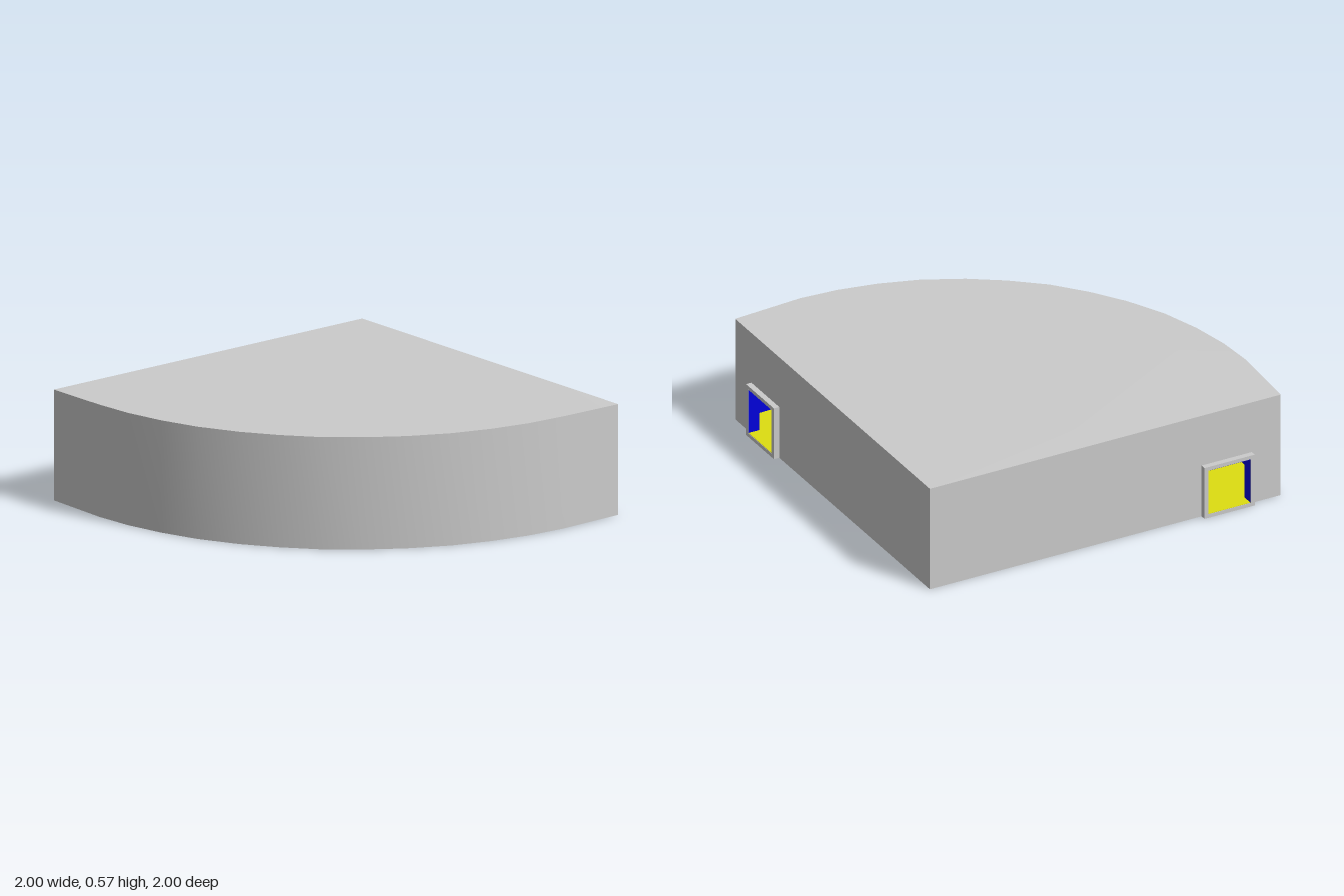
import * as THREE from 'three';

const paint = (color) => new THREE.MeshStandardMaterial({ color, side: THREE.DoubleSide });
const grey = paint(0xcccccc), blue = paint(0x0000dd), yellow = paint(0xdddd11), green = paint(0x11aa11);

const EDGE = -0.97, TOP = 0.562, CROWN = 0.57;

// Half of the curved front, mirrored across the diagonal
const half = [[EDGE, 0.985], [-0.6, 1], [-0.4, 0.985], [-0.2, 0.945], [0, 0.88], [0.2, 0.78], [0.37, 0.665]];
const arc = [...half, [0.53, 0.53], ...half.map(([x, z]) => [z, x]).reverse()];
const scaled = (k) => arc.map(([x, z]) => [EDGE + (x - EDGE) * k, EDGE + (z - EDGE) * k]);

function mesh(name, geometry, material) {
  const m = new THREE.Mesh(geometry, material);
  m.name = name;
  return m;
}

// Upright band along a path, faces outward; height may vary along it
function band(points, y0, heightAt) {
  const pos = [], index = [];
  points.forEach(([x, z], i) => {
    pos.push(x, y0, z, x, heightAt(i), z);
    if (i) {
      const a = 2 * i - 2;
      index.push(a, a + 2, a + 1, a + 1, a + 2, a + 3);
    }
  });
  const g = new THREE.BufferGeometry();
  g.setAttribute('position', new THREE.Float32BufferAttribute(pos, 3));
  g.setIndex(index);
  g.computeVertexNormals();
  return g;
}

// Horizontal sheet from an x, z outline
function sheet(points, y) {
  const shape = new THREE.Shape(points.map(([x, z]) => new THREE.Vector2(x, -z)));
  return new THREE.ShapeGeometry(shape).rotateX(-Math.PI / 2).translate(0, y, 0);
}

const rect = (Type, x0, x1, y0, y1) => new Type([[x0, y0], [x1, y0], [x1, y1], [x0, y1]]
  .map(([x, y]) => new THREE.Vector2(x, y)));

// Straight wall with a framed doorway; s = -1 mirrors it
function doorWall(s) {
  const g = new THREE.Group();
  const panel = (x0, x1, y0, y1, inset = 0) => {
    const shape = rect(THREE.Shape, s * x0, s * x1, y0, y1);
    shape.holes.push(rect(THREE.Path, s * (0.567 + inset), s * (0.803 - inset), 0.02 + inset, 0.263 - inset));
    return shape;
  };
  const slab = (shape, z, depth) =>
    new THREE.ExtrudeGeometry(shape, { depth, bevelEnabled: false }).translate(0, 0, z);
  g.add(mesh('straightWall', slab(panel(EDGE, 0.984, 0, TOP - 0.002), EDGE, 0.03), grey));
  g.add(mesh('doorFrame', slab(panel(0.545, 0.825, 0, 0.283), -1, 0.03), grey));
  g.add(mesh('innerEndWall', new THREE.ShapeGeometry(panel(0.38, 0.95, 0.01, 0.54)).translate(0, 0, -0.938), blue));
  // Lining of the doorway: two jambs, lintel and sill
  const lining = (name, w, h, x, y, mat) => {
    const m = mesh(name, new THREE.BoxGeometry(w, h, 0.06), mat);
    m.position.set(s * x, y, -0.968);
    g.add(m);
  };
  lining('jamb', 0.002, 0.243, 0.568, 0.1415, blue);
  lining('jamb', 0.002, 0.243, 0.802, 0.1415, blue);
  lining('lintel', 0.236, 0.002, 0.685, 0.262, blue);
  lining('sill', 0.236, 0.002, 0.685, 0.021, yellow);
  return g;
}

export function createModel() {
  const model = new THREE.Group();
  model.name = 'curvedCorridor';

  // Outer shell
  const last = arc.length - 1;
  const outline = [[EDGE, EDGE], ...arc];
  model.add(mesh('curvedWall', band(arc, 0, (i) => (i === 0 || i === last ? TOP : CROWN)), grey));
  const roof = sheet(outline, TOP);
  const p = roof.attributes.position;
  for (let i = 0; i < p.count; i++) {
    if (p.getX(i) > EDGE + 0.01 && p.getZ(i) > EDGE + 0.01) p.setY(i, CROWN);
  }
  roof.computeVertexNormals();
  model.add(mesh('roof', roof, grey));
  model.add(mesh('base', sheet(outline, 0), grey));

  // Straight walls with doorways
  const back = doorWall(1);
  back.name = 'backWall';
  const side = doorWall(-1);
  side.name = 'sideWall';
  side.rotation.y = Math.PI / 2;
  model.add(back, side);

  // Corridor inside
  const outer = scaled(0.982), inner = scaled(0.69);
  const lane = [...outer, ...inner.slice().reverse()];
  model.add(mesh('corridorFloor', sheet(lane, 0.02), yellow));
  model.add(mesh('corridorCeiling', sheet(lane, 0.54), blue));
  model.add(mesh('corridorOuterWall', band(outer, 0.02, () => 0.54), blue));
  model.add(mesh('corridorInnerWall', band(inner, 0.02, () => 0.54), green));
  return model;
}
